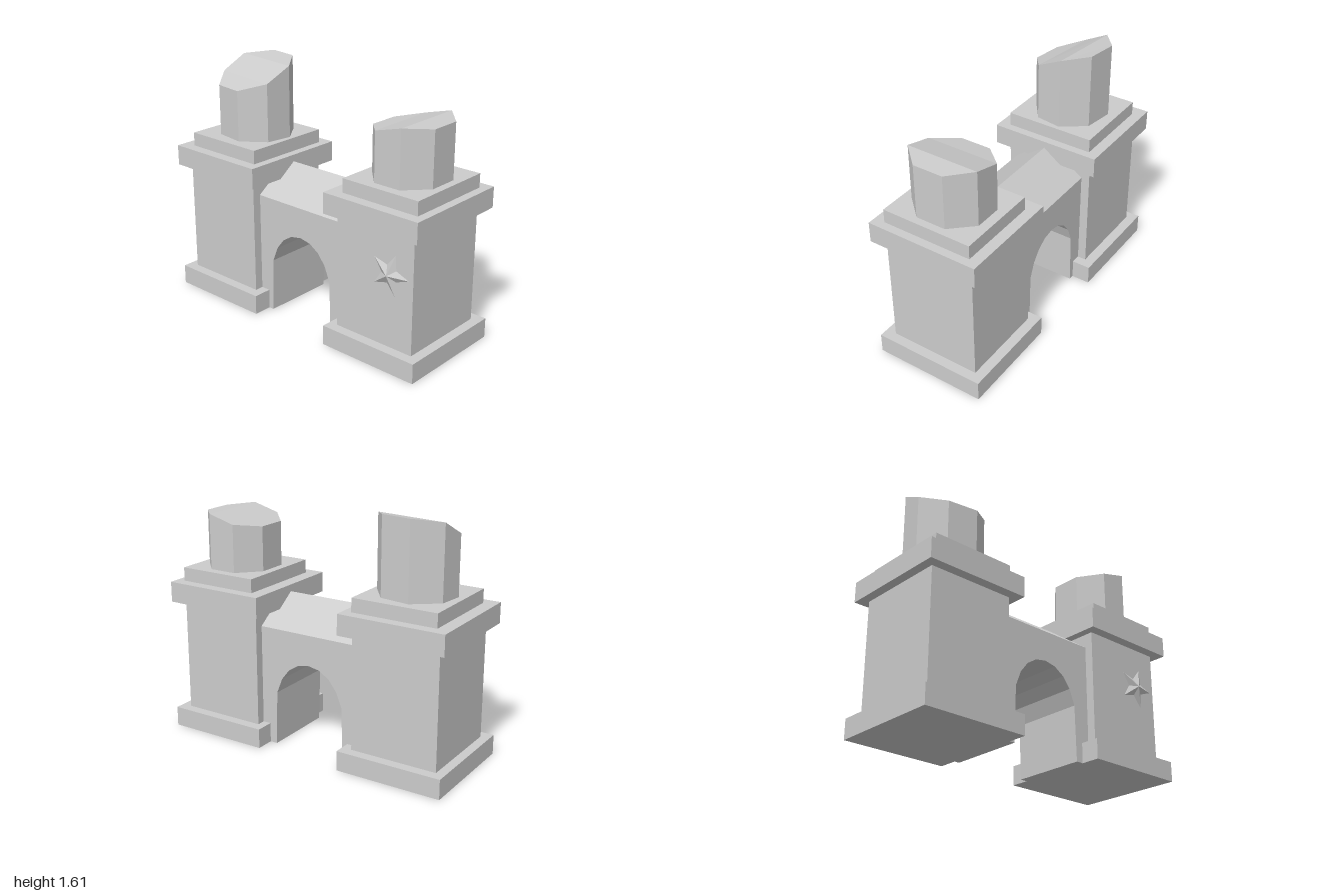
import * as THREE from 'three';

const material = new THREE.MeshStandardMaterial({ color: 0xcccccc, flatShading: true });

function add(parent, name, geometry) {
  const mesh = new THREE.Mesh(geometry, material);
  mesh.name = name;
  parent.add(mesh);
  return mesh;
}

// Block from x0..x1 and y0..y1, centred on z
function block(parent, name, x0, x1, y0, y1, halfDepth) {
  const mesh = add(parent, name, new THREE.BoxGeometry(x1 - x0, y1 - y0, halfDepth * 2));
  mesh.position.set((x0 + x1) / 2, (y0 + y1) / 2, 0);
}

function trianglesGeometry(points) {
  const geometry = new THREE.BufferGeometry();
  geometry.setAttribute('position', new THREE.Float32BufferAttribute(points.flat(), 3));
  geometry.computeVertexNormals();
  return geometry;
}

// Broken eight-sided column: each row is [ax, az, bx, bz, topHeight],
// a pair of opposite corners joined by a crease across the broken top
function brokenColumn(rows, floor) {
  const a = rows.map(([x, z, , , h]) => [x, h, z]);
  const b = rows.map(([, , x, z, h]) => [x, h, z]);
  const ring = [...a, ...[...b].reverse()];
  const down = ([x, , z]) => [x, floor, z];
  const points = [];
  const quad = (p, q, r, s) => points.push(p, q, r, p, r, s);
  ring.forEach((p, i) => {
    const q = ring[(i + 1) % ring.length];
    quad(down(p), down(q), q, p);
  });
  for (let i = 0; i < rows.length - 1; i++) {
    quad(a[i], a[i + 1], b[i + 1], b[i]);
    quad(down(b[i]), down(b[i + 1]), down(a[i + 1]), down(a[i]));
  }
  return trianglesGeometry(points);
}

// Five-pointed star rising to a central point
function starGeometry(outer, inner, height) {
  const rim = Array.from({ length: 10 }, (_, i) => {
    const r = i % 2 ? inner : outer;
    const t = (i * Math.PI) / 5;
    return [r * Math.cos(t), r * Math.sin(t), 0];
  });
  const points = [];
  rim.forEach((p, i) => {
    const q = rim[(i + 1) % 10];
    points.push([0, 0, height], p, q, [0, 0, 0], q, p);
  });
  return trianglesGeometry(points);
}

export function createModel() {
  const model = new THREE.Group();
  model.name = 'ruinedGateway';

  // Two stepped pillars
  const pillars = [
    { name: 'rightPillar', slab: [-1, -0.29], shaft: [-0.94, -0.355], top: [-0.915, -0.345] },
    { name: 'leftPillar', slab: [0.305, 1], shaft: [0.36, 0.935], top: [0.395, 0.945] },
  ];
  const groups = pillars.map(({ name, slab, shaft, top }) => {
    const pillar = new THREE.Group();
    pillar.name = name;
    block(pillar, 'base', ...slab, 0, 0.13, 0.375);
    block(pillar, 'shaft', ...shaft, 0.13, 0.88, 0.308);
    block(pillar, 'cap', ...slab, 0.88, 1.015, 0.375);
    block(pillar, 'plinth', ...top, 1.015, 1.105, 0.303);
    model.add(pillar);
    return pillar;
  });

  // Broken columns on top of the pillars
  add(groups[0], 'tallBrokenColumn', brokenColumn([
    [-0.555, 0.235, -0.755, 0.205, 1.44],
    [-0.4, 0.12, -0.87, 0.05, 1.49],
    [-0.375, -0.055, -0.85, -0.115, 1.58],
    [-0.49, -0.21, -0.69, -0.24, 1.605],
  ], 1.105));
  add(groups[1], 'shortBrokenColumn', brokenColumn([
    [0.45, 0.1, 0.45, -0.1, 1.4],
    [0.58, 0.24, 0.58, -0.24, 1.42],
    [0.765, 0.24, 0.765, -0.24, 1.47],
    [0.895, 0.1, 0.895, -0.1, 1.46],
  ], 1.105));

  // Star ornament on the front of the left pillar
  add(groups[1], 'starOrnament', starGeometry(0.14, 0.06, 0.033)).position.set(0.763, 0.605, 0.309);

  // Wall with an arched opening
  const half = [[0.255, 0], [0.245, 0.36], [0.205, 0.46], [0.15, 0.53], [0.08, 0.575]];
  const arch = [
    ...half.map(([x, y]) => [-x, y]), [0, 0.59], ...[...half].reverse(),
  ];
  const outline = [[-0.36, 0], ...arch, [0.37, 0], [0.37, 0.79], [-0.36, 0.79]];
  const wall = new THREE.ExtrudeGeometry(
    new THREE.Shape(outline.map(([x, y]) => new THREE.Vector2(x, y))),
    { depth: 0.5, bevelEnabled: false },
  );
  wall.translate(0, 0, -0.25);
  add(model, 'archWall', wall);

  // Gabled coping over the arch, its ends buried in the pillars
  const gable = new THREE.Shape([[-0.25, 0.79], [0.25, 0.79], [0, 0.97]].map(([x, y]) => new THREE.Vector2(x, y)));
  const coping = new THREE.ExtrudeGeometry(gable, { depth: 0.73, bevelEnabled: false });
  coping.rotateY(Math.PI / 2).translate(-0.36, 0, 0);
  add(model, 'gabledCoping', coping);

  return model;
}
